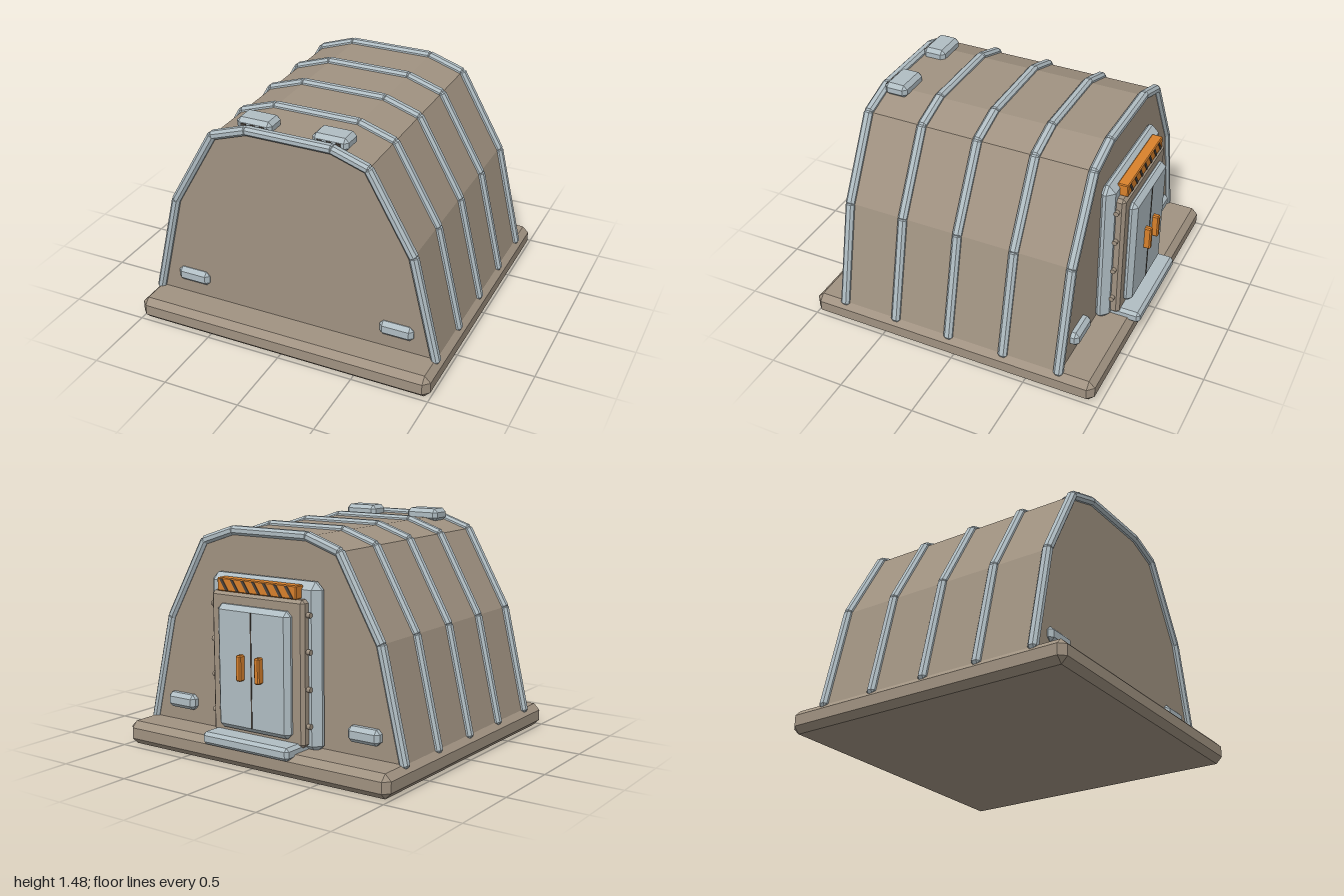
import * as THREE from 'three';
import { ConvexGeometry } from 'three/addons/geometries/ConvexGeometry.js';

const mat = (name, color) => new THREE.MeshStandardMaterial({ name, color });

// Box with chamfered edges, centred on the origin
function chamferBox(w, h, d, b) {
  const pts = [];
  for (const sx of [-1, 1]) for (const sy of [-1, 1]) for (const sz of [-1, 1]) {
    const x = w / 2, y = h / 2, z = d / 2;
    pts.push(
      new THREE.Vector3(sx * x, sy * (y - b), sz * (z - b)),
      new THREE.Vector3(sx * (x - b), sy * y, sz * (z - b)),
      new THREE.Vector3(sx * (x - b), sy * (y - b), sz * z));
  }
  return new ConvexGeometry(pts);
}

export function createModel() {
  const root = new THREE.Group();
  root.name = 'shelter';
  const brown = mat('tan brown panels', 0xa09281);
  const grey = mat('blue grey metal', 0xb0bdc3);
  const orange = mat('orange accents', 0xd9812c);
  const dark = mat('dark seams', 0x4c443d);

  const add = (name, geometry, material, parent = root) => {
    const m = new THREE.Mesh(geometry, material);
    m.name = name;
    parent.add(m);
    return m;
  };
  // Chamfered block given by its extents
  const block = (name, material, [x0, x1], [y0, y1], [z0, z1], bevel, parent) => {
    const m = add(name, chamferBox(x1 - x0, y1 - y0, z1 - z0, bevel), material, parent);
    m.position.set((x0 + x1) / 2, (y0 + y1) / 2, (z0 + z1) / 2);
    return m;
  };

  // Foundation slab
  block('foundation', brown, [-1, 1], [0, 0.15], [-0.96, 1], 0.04);

  // Faceted vault
  const half = [[0.965, 0.14], [0.8, 0.83], [0.51, 1.34], [0.28, 1.417]];
  const arch = [...half, ...half.map(([x, y]) => [-x, y]).reverse()]
    .map(([x, y]) => new THREE.Vector2(x, y));
  const shell = add('shell', new THREE.ExtrudeGeometry(new THREE.Shape(arch),
    { depth: 1.515, bevelEnabled: false }), brown);
  shell.position.z = -0.73;

  // Five ribs, each made of straight chamfered bars along the arch
  for (const z of [0.785, 0.41, 0.032, -0.347, -0.72]) {
    const rib = new THREE.Group();
    rib.name = 'rib';
    rib.position.z = z;
    root.add(rib);
    for (let i = 0; i < arch.length - 1; i++) {
      const a = arch[i], b = arch[i + 1], d = b.clone().sub(a);
      const bar = add('ribBar', chamferBox(d.length() + 0.025, 0.056, 0.06, 0.016), grey, rib);
      bar.position.set((a.x + b.x) / 2, (a.y + b.y) / 2, 0);
      bar.rotation.z = Math.atan2(d.y, d.x);
    }
  }

  for (const s of [-1, 1]) {
    // Roof vents with small slots on their front
    const cx = s * 0.248;
    block('roofVent', grey, [cx - 0.117, cx + 0.117], [1.39, 1.475], [0.605, 0.76], 0.025);
    for (const dx of [-0.06, 0, 0.06]) {
      const slot = add('ventSlot', new THREE.BoxGeometry(0.03, 0.03, 0.016), dark);
      slot.position.set(cx + dx, 1.432, 0.76);
    }
    // Low boxes on both end walls
    const wx = [s * 0.705 - 0.112, s * 0.705 + 0.112];
    block('frontWallBox', grey, wx, [0.238, 0.335], [0.735, 0.815], 0.025);
    block('backWallBox', grey, wx, [0.238, 0.335], [-0.782, -0.7], 0.025);
  }

  // Door assembly on the back wall
  const door = new THREE.Group();
  door.name = 'doorway';
  root.add(door);
  block('outerFrame', grey, [-0.415, 0.415], [0.13, 1.16], [-0.81, -0.7], 0.045, door);
  block('innerFrame', brown, [-0.35, 0.35], [0.17, 1.06], [-0.865, -0.78], 0.02, door);
  block('doorPanel', grey, [-0.275, 0.275], [0.22, 0.99], [-0.915, -0.84], 0.03, door);
  block('doorSill', grey, [-0.33, 0.33], [0.118, 0.198], [-1, -0.75], 0.02, door);
  const seam = add('doorSeam', new THREE.BoxGeometry(0.008, 0.71, 0.006), dark, door);
  seam.position.set(0, 0.605, -0.915);

  for (const s of [-1, 1]) {
    block('doorHandle', orange, [s * 0.07 - 0.019, s * 0.07 + 0.019],
      [0.54, 0.7], [-0.957, -0.905], 0.008, door);
    // Bolts along the frame sides
    for (const y of [0.3, 0.525, 0.75, 0.97]) {
      const bolt = add('bolt', new THREE.CylinderGeometry(0.017, 0.017, 0.04, 8), brown, door);
      bolt.rotation.z = Math.PI / 2;
      bolt.position.set(s * 0.355, y, -0.82);
    }
  }

  // Hazard strip above the door
  block('hazardStrip', orange, [-0.3, 0.3], [1.06, 1.142], [-0.862, -0.79], 0.006, door);
  const slant = new THREE.Shape([[-0.034, 0], [-0.012, 0], [0.034, 0.07], [0.012, 0.07]]
    .map(([x, y]) => new THREE.Vector2(x, y)));
  const stripe = new THREE.ExtrudeGeometry(slant, { depth: 0.006, bevelEnabled: false });
  for (let i = 0; i < 7; i++) {
    const m = add('hazardStripe', stripe, dark, door);
    m.position.set(-0.246 + i * 0.082, 1.066, -0.866);
  }
  return root;
}
